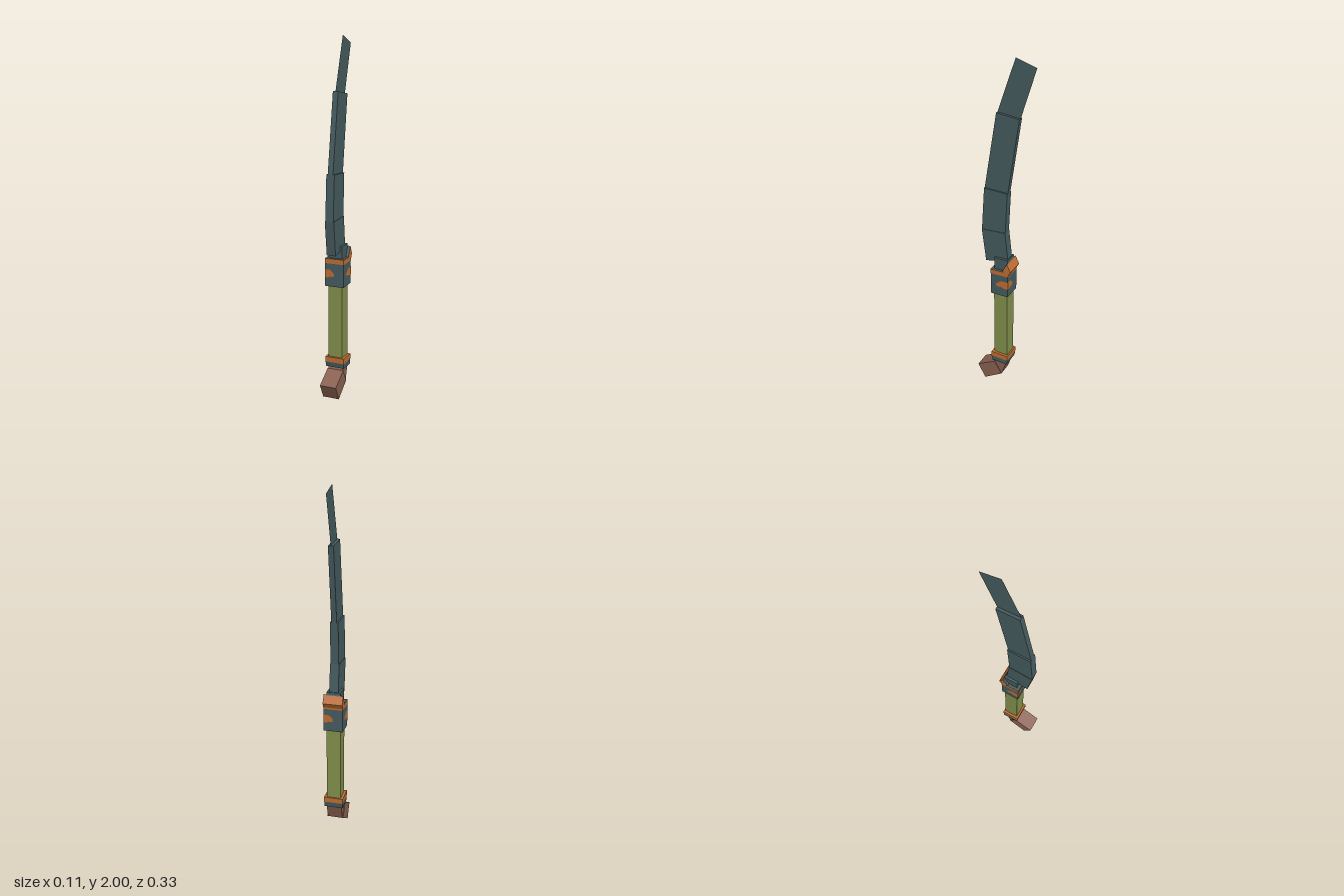
import * as THREE from 'three';

export function createModel() {
  const root = new THREE.Group();
  const mat = (name, color) => {
    const m = new THREE.MeshStandardMaterial({ color, side: THREE.DoubleSide });
    m.name = name;
    return m;
  };
  const steel = mat('slate steel', 0x465c60);
  const green = mat('olive wrap', 0x84904c);
  const brown = mat('brown wood', 0x8a6150);
  const orange = mat('orange trim', 0xc06e32);

  const add = (name, geometry, material, parent = root) => {
    const mesh = new THREE.Mesh(geometry, material);
    mesh.name = name;
    parent.add(mesh);
    return mesh;
  };
  const outline = (pts) => new THREE.Shape(pts.map(([a, b]) => new THREE.Vector2(a, b)));
  // Side profile of [z, y] points, given a thickness of 2 * half across x
  const prism = (name, pts, half, material) => {
    const g = new THREE.ExtrudeGeometry(outline(pts), { depth: half * 2, bevelEnabled: false });
    g.rotateY(-Math.PI / 2).translate(half, 0, 0);
    return add(name, g, material);
  };
  // Box between two heights and two depths, symmetric in x
  const block = (name, half, y0, y1, z0, z1, material) => {
    const g = new THREE.BoxGeometry(half * 2, y1 - y0, z1 - z0);
    g.translate(0, (y0 + y1) / 2, (z0 + z1) / 2);
    return add(name, g, material);
  };

  // Blade: stations of [front z, front y, back z, back y], thinner towards the top
  const stations = [
    [0.115, 0.835, -0.023, 0.86],
    [0.14, 1.03, -0.004, 1.035],
    [0.123, 1.282, -0.016, 1.274],
    [0.051, 1.712, -0.08, 1.695],
    [-0.05, 2.0, -0.165, 1.962],
  ];
  const section = (i) => {
    const [a, b] = [stations[i], stations[i + 1]];
    return [[a[0], a[1]], [a[2], a[3]], [b[2], b[3]], [b[0], b[1]]];
  };
  ['bladeBase', 'bladeLower', 'bladeUpper'].forEach((name, i) =>
    prism(name, section(i), [0.026, 0.023, 0.015][i], steel));
  // The tip is a single flat sheet
  add('bladeTip', new THREE.ShapeGeometry(outline(section(3))).rotateY(-Math.PI / 2), steel);

  // Collar, guard and trim
  block('bladeCollar', 0.04, 0.8, 0.875, -0.027, 0.055, steel);
  block('guard', 0.055, 0.645, 0.805, -0.036, 0.071, steel);
  block('guardStripe', 0.0565, 0.777, 0.804, -0.0375, 0.0725, orange);
  prism('guardSpur', [[0.0, 0.8], [-0.037, 0.785], [-0.053, 0.813], [-0.031, 0.857]], 0.056, orange);
  prism('spurFace', [[0.003, 0.804], [0.0, 0.801], [-0.031, 0.857], [-0.029, 0.861]], 0.056, steel);

  // Emblems wrap around two opposite corners of the guard
  const emblem = outline([[0, 0.742], [0.03, 0.742], [0.04, 0.735], [0.056, 0.718],
    [0.053, 0.702], [0.03, 0.702], [0.02, 0.696], [0, 0.696]]);
  for (const turn of [0, Math.PI]) {
    const corner = new THREE.Group();
    corner.name = 'cornerEmblem';
    corner.position.z = 0.0175;
    corner.rotation.y = turn;
    add('emblemFace', new THREE.ShapeGeometry(emblem), orange, corner).position.set(-0.0565, 0, 0.0555);
    const side = add('emblemSide', new THREE.ShapeGeometry(emblem), orange, corner);
    side.rotation.y = Math.PI / 2;
    side.scale.x = 1.35;
    side.position.set(-0.0565, 0, 0.0555);
    root.add(corner);
  }

  // Grip and lower ring
  block('grip', 0.041, 0.2, 0.65, -0.025, 0.058, green);
  prism('ringTrim', [[0.071, 0.192], [-0.033, 0.187], [-0.033, 0.217], [0.071, 0.223]], 0.056, orange);
  prism('ring', [[0.066, 0.163], [-0.028, 0.156], [-0.032, 0.187], [0.07, 0.192]], 0.055, steel);

  // Bent pommel
  prism('pommelNeck', [[0.05, 0.163], [0.057, 0.146], [0.01, 0.068], [-0.02, 0.158]], 0.044, brown);
  prism('pommel', [[0.168, 0.087], [0.123, 0.0], [0.01, 0.068], [0.057, 0.146]], 0.048, brown);

  return root;
}
